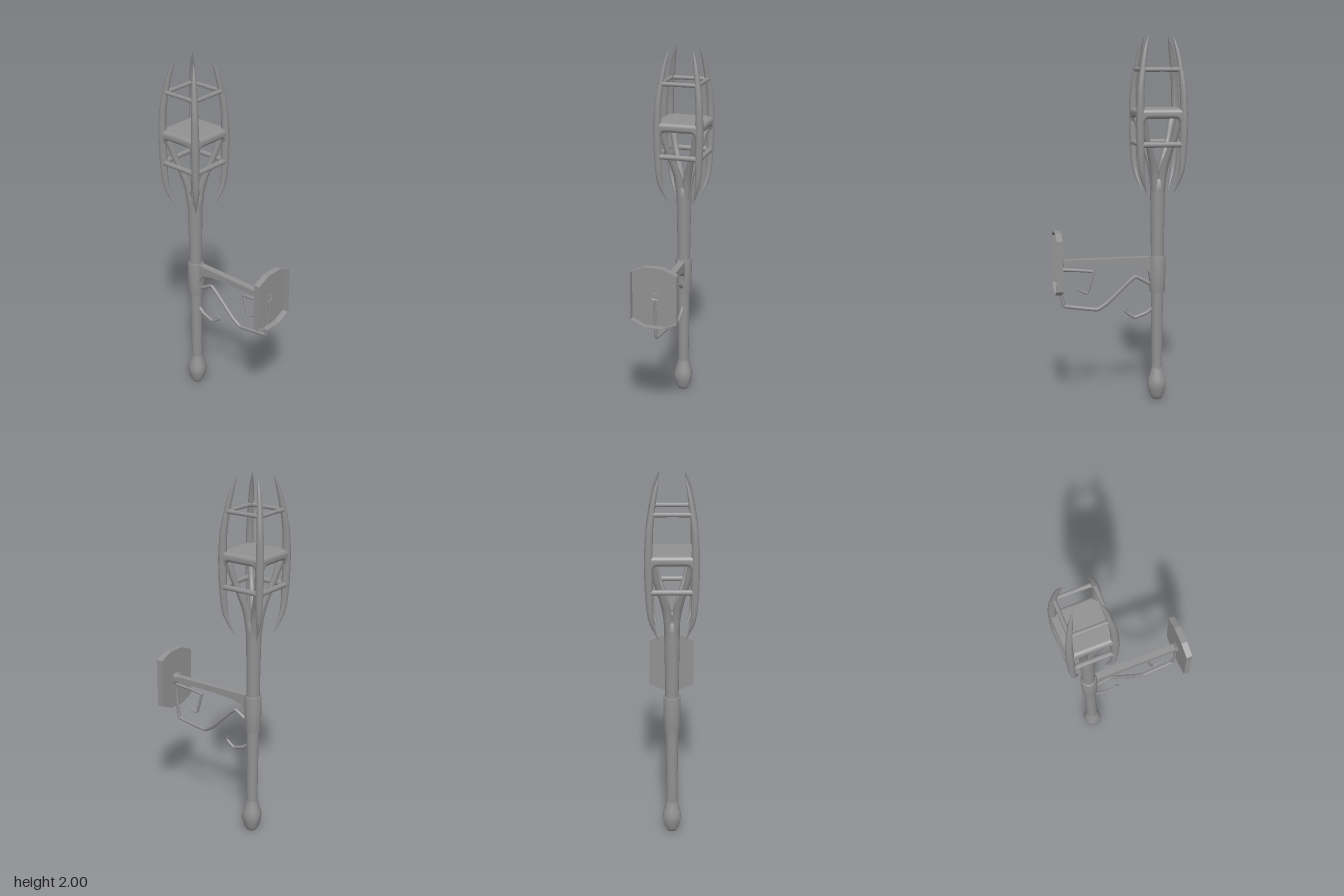
import * as THREE from 'three';
import { RoundedBoxGeometry } from 'three/addons/geometries/RoundedBoxGeometry.js';

const V = (x, y, z = 0) => new THREE.Vector3(x, y, z);
const material = new THREE.MeshStandardMaterial({ color: 0x909090, side: THREE.DoubleSide });

function part(parent, name, geometry) {
  const mesh = new THREE.Mesh(geometry, material);
  mesh.name = name;
  parent.add(mesh);
  return mesh;
}

// Tube through the points whose radius follows one value per point
function taperedTube(points, radii, tension = 0.5, sides = 8, segments = 40) {
  const curve = new THREE.CatmullRomCurve3(points, false, 'catmullrom', tension);
  const geo = new THREE.TubeGeometry(curve, segments, 1, sides);
  const pos = geo.attributes.position;
  const v = V(0, 0);
  for (let i = 0; i <= segments; i++) {
    const t = curve.getUtoTmapping(i / segments);
    const f = t * (radii.length - 1);
    const k = Math.min(Math.floor(f), radii.length - 2);
    const r = THREE.MathUtils.lerp(radii[k], radii[k + 1], f - k);
    const centre = curve.getPoint(t);
    for (let j = 0; j <= sides; j++) {
      const n = i * (sides + 1) + j;
      v.fromBufferAttribute(pos, n).sub(centre).multiplyScalar(r).add(centre);
      pos.setXYZ(n, v.x, v.y, v.z);
    }
  }
  return geo;
}

function lathe(profile, sides = 20) {
  return new THREE.LatheGeometry(profile.map(([r, y]) => new THREE.Vector2(r, y)), sides);
}

// Pommel: a lathe pushed out along its diagonals into a soft square
function pommelGeometry() {
  const geo = lathe([
    [0, 0.003], [0.024, 0.006], [0.037, 0.03], [0.047, 0.07], [0.05, 0.095],
    [0.045, 0.125], [0.034, 0.16], [0.028, 0.19],
  ], 16);
  const pos = geo.attributes.position;
  for (let i = 0; i < pos.count; i++) {
    const angle = Math.atan2(pos.getZ(i), pos.getX(i));
    const s = 1 + 0.13 * Math.sin(2 * angle) ** 2;
    pos.setXYZ(i, pos.getX(i) * s, pos.getY(i), pos.getZ(i) * s);
  }
  return geo;
}

function shapeFrom(points) {
  return new THREE.Shape(points.map(([x, y]) => new THREE.Vector2(x, y)));
}

export function createModel() {
  const model = new THREE.Group();
  model.name = 'wallTorch';

  // Torch, built round its own axis
  const torch = new THREE.Group();
  torch.name = 'torch';
  torch.position.x = -0.213;
  model.add(torch);

  part(torch, 'pommel', pommelGeometry());
  part(torch, 'shaft', lathe([
    [0.03, 0.16], [0.033, 0.6], [0.037, 0.95], [0.041, 1.18], [0.041, 1.23], [0, 1.29],
  ]));
  part(torch, 'sleeve', lathe([
    [0.033, 0.61], [0.042, 0.612], [0.045, 0.7], [0.046, 0.81], [0.036, 0.813],
  ]));

  // Cage: each corner carries a claw and a strut, each side its cross bars
  const diagonal = (list) => list.map(([d, y]) => V(d, y, d));
  const claw = taperedTube(diagonal([
    [0.072, 1.16], [0.106, 1.28], [0.115, 1.43], [0.117, 1.59],
    [0.113, 1.72], [0.101, 1.82], [0.085, 1.92], [0.064, 2.0],
  ]), [0.001, 0.015, 0.021, 0.022, 0.019, 0.016, 0.012, 0.001], 0.5, 10, 56);
  const strut = taperedTube(diagonal([
    [0.012, 1.17], [0.025, 1.28], [0.048, 1.37], [0.072, 1.45], [0.088, 1.52], [0.106, 1.585],
  ]), [0.025, 0.023, 0.018, 0.016, 0.019, 0.024], 0.5, 10);
  // Cross bar, thicker and optionally drooping at its ends
  const bar = (y, d, r, rEnd, droop = 0) => taperedTube(
    [-1, -0.75, 0, 0.75, 1].map((s) => V(s * d, y - (Math.abs(s) === 1 ? droop : 0), d)),
    [rEnd, r * 1.1, r, r * 1.1, rEnd], 0.5, 8, 24);
  const topBar = bar(1.82, 0.102, 0.011, 0.016);
  const lowBar = bar(1.427, 0.117, 0.014, 0.019);
  const rimBar = bar(1.582, 0.114, 0.019, 0.02, 0.035);
  for (let i = 0; i < 4; i++) {
    const corner = new THREE.Group();
    corner.name = 'cageCorner' + (i + 1);
    corner.rotation.y = i * Math.PI / 2;
    torch.add(corner);
    part(corner, 'claw', claw);
    part(corner, 'strut', strut);
    part(corner, 'topBar', topBar);
    part(corner, 'lowBar', lowBar);
    part(corner, 'rimBar', rimBar);
  }
  part(torch, 'platform', new RoundedBoxGeometry(0.268, 0.052, 0.268, 4, 0.022)).position.y = 1.59;

  // Arm with a curved haunch at the sleeve
  const armShape = shapeFrom([
    [-0.2, 0.81], [-0.2, 0.67], [-0.172, 0.685], [-0.165, 0.725], [-0.145, 0.75],
    [-0.1, 0.764], [0.0, 0.772], [0.316, 0.775], [0.316, 0.803],
  ]);
  const armGeo = new THREE.ExtrudeGeometry(armShape, { depth: 0.038, bevelEnabled: false });
  part(model, 'arm', armGeo.translate(0, 0, -0.019));
  const flare = new THREE.CylinderGeometry(0.026, 0.045, 0.014, 4, 1, true);
  flare.rotateY(Math.PI / 4).rotateZ(Math.PI / 2);
  part(model, 'armFlare', flare).position.set(0.31, 0.789, 0);

  // Wall plate: a shallow tray open towards the wall
  const outline = [
    [-0.127, -0.135], [-0.05, -0.169], [0.05, -0.169], [0.127, -0.135],
    [0.127, 0.135], [0.05, 0.169], [-0.05, 0.169], [-0.127, 0.135],
  ];
  const square = [[-0.02, -0.02], [-0.02, 0.02], [0.02, 0.02], [0.02, -0.02]];
  const plate = new THREE.Group();
  plate.name = 'wallPlate';
  plate.position.set(0.318, 0.789, 0);
  plate.rotation.y = Math.PI / 2;
  model.add(plate);
  const face = shapeFrom(outline);
  face.holes.push(shapeFrom(square));
  part(plate, 'plateFace', new THREE.ShapeGeometry(face));
  const rim = shapeFrom(outline);
  rim.holes.push(shapeFrom(outline.map(([x, y]) => [x * 0.98, y * 0.98])));
  part(plate, 'plateRim', new THREE.ExtrudeGeometry(rim, { depth: 0.034, bevelEnabled: false }));

  // Bent ornamental rods under the arm
  part(model, 'longRod', taperedTube([
    V(-0.19, 0.645), V(-0.165, 0.663), V(-0.095, 0.7), V(-0.06, 0.675), V(0.06, 0.56),
    V(0.12, 0.523), V(0.3, 0.548), V(0.312, 0.61), V(0.326, 0.76),
  ], [0.011, 0.011, 0.01, 0.01, 0.012, 0.011, 0.01, 0.009, 0.008], 0.1, 8, 90));
  part(model, 'innerHook', taperedTube([
    V(0.322, 0.75), V(0.22, 0.743), V(0.14, 0.732), V(0.174, 0.615), V(0.248, 0.648),
  ], [0.01, 0.009, 0.008, 0.008, 0.001], 0.1, 8, 60));
  part(model, 'lowerHook', taperedTube([
    V(-0.19, 0.522), V(-0.155, 0.495), V(-0.088, 0.472), V(-0.038, 0.507), V(-0.058, 0.537),
  ], [0.011, 0.01, 0.009, 0.007, 0.001], 0.2, 8, 50));

  return model;
}
